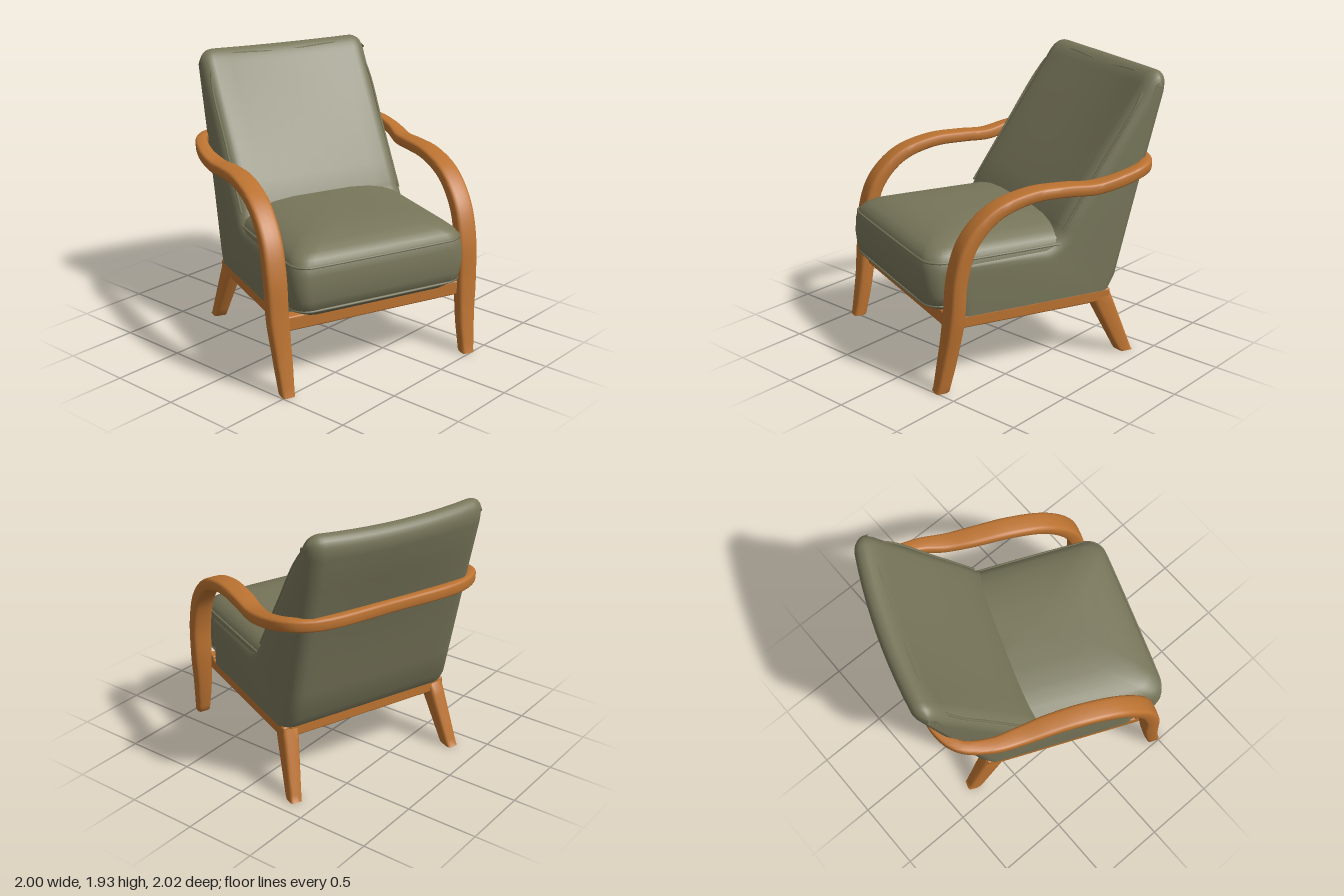
import * as THREE from 'three';
import { mergeVertices, toCreasedNormals } from 'three/addons/utils/BufferGeometryUtils.js';
import { RoundedBoxGeometry } from 'three/addons/geometries/RoundedBoxGeometry.js';

const V = (x, y, z) => new THREE.Vector3(x, y, z);
const rad = THREE.MathUtils.degToRad;
const smooth = THREE.MathUtils.smoothstep;

// Closed skin over a list of equal-length rings (each turning anticlockwise around the path)
function skin(rings) {
  const n = rings[0].length, pos = [], idx = [];
  rings.forEach(r => r.forEach(p => pos.push(p.x, p.y, p.z)));
  for (let i = 0; i < rings.length - 1; i++)
    for (let j = 0; j < n; j++) {
      const k = (j + 1) % n, a = i * n + j, b = i * n + k;
      idx.push(a, b, a + n, b, b + n, a + n);
    }
  [0, rings.length - 1].forEach((ri, end) => {
    const c = V(0, 0, 0);
    rings[ri].forEach(p => c.addScaledVector(p, 1 / n));
    const ci = pos.length / 3;
    pos.push(c.x, c.y, c.z);
    for (let j = 0; j < n; j++) {
      const a = ri * n + j, b = ri * n + (j + 1) % n;
      end ? idx.push(ci, a, b) : idx.push(ci, b, a);
    }
  });
  const g = new THREE.BufferGeometry();
  g.setAttribute('position', new THREE.Float32BufferAttribute(pos, 3));
  g.setIndex(idx);
  return toCreasedNormals(g, 0.8);
}

// Rounded bar through rows of [x, y, z, width, thickness, plan angle of its width],
// cut level at the floor and at the given top
function bar(rows, steps, top) {
  const path = new THREE.CatmullRomCurve3(rows.map(r => V(r[0], r[1], r[2])));
  const size = new THREE.CatmullRomCurve3(rows.map(r => V(r[3], r[4], rad(r[5]))), false, 'catmullrom', 0.3);
  const f = v => Math.sign(v) * Math.abs(v) ** 0.45;
  const rings = [];
  for (let i = 0; i <= steps; i++) {
    const u = i / steps, c = path.getPoint(u), t = path.getTangent(u), s = size.getPoint(u);
    const side = V(Math.cos(s.z), 0, -Math.sin(s.z));
    side.addScaledVector(t, -side.dot(t)).normalize();
    const nrm = t.clone().cross(side);
    const ring = [];
    for (let j = 0; j < 20; j++) {
      const a = j / 20 * Math.PI * 2;
      const p = c.clone().addScaledVector(side, f(Math.cos(a)) * s.x / 2)
        .addScaledVector(nrm, f(Math.sin(a)) * s.y / 2);
      p.y = THREE.MathUtils.clamp(p.y, 0, top);
      ring.push(p);
    }
    rings.push(ring);
  }
  return skin(rings);
}

// Horizontal rounded rectangle
function roundRect(y, hw, z0, z1, r) {
  const pts = [];
  [[1, 1], [-1, 1], [-1, -1], [1, -1]].forEach(([sz, sx], q) => {
    for (let k = 0; k <= 6; k++) {
      const a = (q + k / 6) * Math.PI / 2;
      pts.push(V(sx * (hw - r) + Math.sin(a) * r, y, (sz > 0 ? z1 - r : z0 + r) + Math.cos(a) * r));
    }
  });
  return pts;
}

export function createModel() {
  const model = new THREE.Group();
  model.name = 'armchair';
  const fabric = new THREE.MeshStandardMaterial({ color: 0x78765a });
  fabric.name = 'olive fabric';
  const wood = new THREE.MeshStandardMaterial({ color: 0xbc7331 });
  wood.name = 'warm wood';

  // The chair stands turned on the floor, with a slight skew
  const turn = new THREE.Matrix4()
    .makeBasis(V(0.94, 0, 0.345), V(0, 1, 0), V(-0.4, 0, 0.917))
    .setPosition(0.01, 0, 0.008);
  const add = (name, geo, mat) => {
    const mesh = new THREE.Mesh(geo.applyMatrix4(turn), mat);
    mesh.name = name;
    model.add(mesh);
  };

  // Upholstered body: side profile swept across the width
  const hw = 0.657, bevel = 0.11, floor = 0.47;
  const s = new THREE.Shape();
  const line = (x0, y0, x1, y1) => {
    for (let k = 1; k <= 7; k++) s.lineTo(x0 + (x1 - x0) * k / 7, y0 + (y1 - y0) * k / 7);
  };
  s.moveTo(-0.64, 0.34);
  s.lineTo(-0.64, 0.86);
  s.lineTo(0, 0.865);
  s.quadraticCurveTo(0.09, 0.87, 0.135, 0.99);
  line(0.135, 0.99, 0.69, 1.82);
  s.quadraticCurveTo(0.755, 1.935, 0.82, 1.935);
  s.quadraticCurveTo(0.905, 1.92, 0.88, 1.78);
  line(0.88, 1.78, 0.505, 0.34);
  let body = new THREE.ExtrudeGeometry(s, {
    depth: 2 * (hw - bevel), steps: 10, curveSegments: 8,
    bevelThickness: bevel, bevelSize: bevel, bevelOffset: -bevel, bevelSegments: 7,
  });
  body.translate(0, 0, bevel - hw).rotateY(Math.PI / 2);
  // Flatten the underside, let the top edge sag and bow the upper back rearwards
  const bp = body.attributes.position;
  for (let i = 0; i < bp.count; i++) {
    const y = bp.getY(i), mid = 1 - (bp.getX(i) / hw) ** 2;
    bp.setY(i, Math.max(floor, y - smooth(y, 1.7, 1.93) * 0.02 * mid));
    bp.setZ(i, bp.getZ(i) - smooth(y, 1.05, 1.9) * 0.055 * mid);
  }
  body.deleteAttribute('uv');
  body.deleteAttribute('normal');
  body = mergeVertices(body, 1e-4);
  add('backAndSides', toCreasedNormals(body, 0.7), fabric);

  // Crowned seat cushion: [height, inset]
  const seatRing = ([y, d]) => roundRect(y, 0.642 - d, -0.4, 0.825 - d, 0.12);
  add('seatCushion', skin([[0.5, 0.08], [0.53, 0.045], [0.555, 0.015], [0.62, 0.003], [0.7, -0.003],
    [0.79, 0.001], [0.85, 0.012], [0.89, 0.035], [0.925, 0.08], [0.955, 0.16], [0.978, 0.27],
    [0.99, 0.42]].map(seatRing)), fabric);

  // Piping round the cushion and the back panel
  [[0.85, 0.014], [0.555, 0.017]].forEach(l => {
    const loop = new THREE.CatmullRomCurve3(seatRing(l), true);
    add('seatPiping', new THREE.TubeGeometry(loop, 160, 0.009, 6, true), fabric);
  });
  const half = [[0.624, 0.93, -0.13], [0.624, 1.36, -0.415], [0.624, 1.7, -0.645],
    [0.59, 1.82, -0.73], [0.5, 1.88, -0.78]];
  const edge = [...half, [0, 1.87, -0.805], ...half.slice().reverse().map(([x, y, z]) => [-x, y, z])];
  add('backPiping', new THREE.TubeGeometry(
    new THREE.CatmullRomCurve3(edge.map(p => V(...p))), 100, 0.009, 6), fabric);

  // One continuous bent bar: front leg, arm, back rail, arm, front leg
  const arm = [
    [0.685, -0.03, 0.78, 0.09, 0.085, 0],
    [0.695, 0.25, 0.725, 0.12, 0.1, 0],
    [0.71, 0.5, 0.69, 0.14, 0.11, 0],
    [0.715, 0.78, 0.665, 0.145, 0.105, 0],
    [0.715, 1.0, 0.59, 0.145, 0.1, 0],
    [0.715, 1.17, 0.42, 0.145, 0.09, 0],
    [0.715, 1.25, 0.17, 0.145, 0.082, 0],
    [0.72, 1.255, -0.08, 0.14, 0.08, 0],
    [0.735, 1.245, -0.28, 0.125, 0.08, 0],
    [0.75, 1.28, -0.48, 0.1, 0.08, 8],
    [0.7, 1.32, -0.68, 0.08, 0.08, 50],
    [0.54, 1.325, -0.785, 0.07, 0.08, 85],
  ];
  const mirrored = arm.slice().reverse().map(([x, y, z, w, t, a]) => [-x, y, z, w, t, 180 - a]);
  add('armsAndFrontLegs', bar([...arm, [0, 1.325, -0.8, 0.07, 0.08, 90], ...mirrored], 144, 2), wood);

  // Splayed rear legs and side rails
  const rail = (name, w, h, d, x, y, z) =>
    add(name, new RoundedBoxGeometry(w, h, d, 2, 0.012).translate(x, y, z), wood);
  for (const side of [1, -1]) {
    add('rearLeg', bar([
      [side * 0.645, -0.03, -0.62, 0.085, 0.095, 0],
      [side * 0.58, 0.5, -0.4, 0.125, 0.15, 0],
    ], 8, 0.465), wood);
    rail('sideRail', 0.09, 0.085, 1.16, side * 0.605, 0.4325, 0.09);
  }
  rail('frontRail', 1.3, 0.1, 0.085, 0, 0.45, 0.66);
  rail('backRail', 1.2, 0.085, 0.08, 0, 0.4325, -0.455);

  return model;
}
